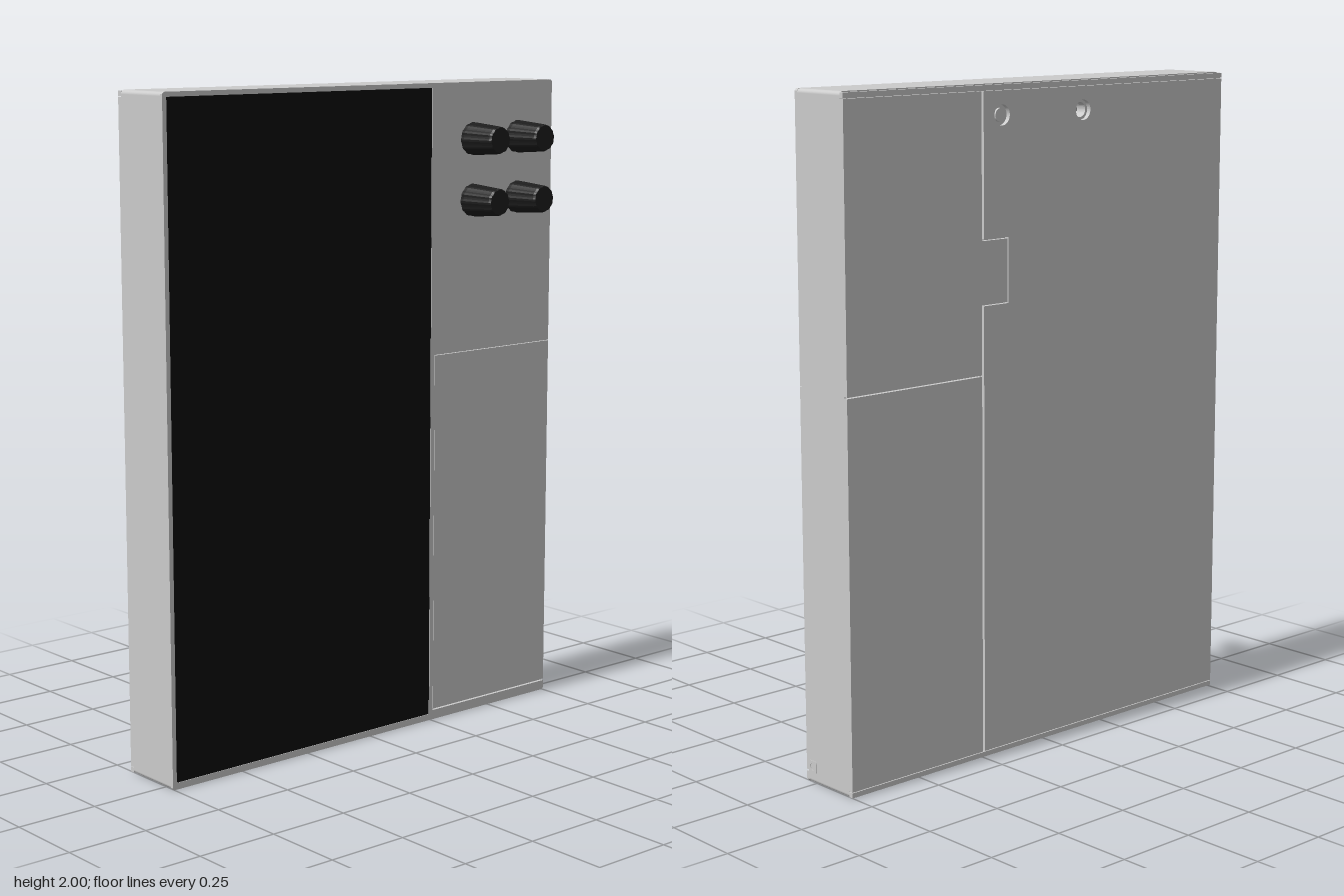
import * as THREE from 'three';

const W = 0.755, H = 2, BACK = -0.17, FRONT = 0.04, SKIN = 0.014, GAP = 0.004, SPLIT = 0.25;
const CORE_BACK = BACK + SKIN, CORE_FRONT = FRONT - 0.01;

const grey = new THREE.MeshStandardMaterial({ color: 0xcccccc });
const black = new THREE.MeshStandardMaterial({ color: 0x0a0a0a });
const knobBlack = new THREE.MeshStandardMaterial({ color: 0x1c1c1c, flatShading: true });

// Closed outline from corner points
const outline = (pts) => new THREE.Shape(pts.map(([x, y]) => new THREE.Vector2(x, y)));
const rect = (x0, y0, x1, y1) => outline([[x0, y0], [x1, y0], [x1, y1], [x0, y1]]);

function roundedRect(x0, y0, x1, y1, r) {
  const s = new THREE.Shape();
  s.absarc(x1 - r, y0 + r, r, -Math.PI / 2, 0);
  s.absarc(x1 - r, y1 - r, r, 0, Math.PI / 2);
  s.absarc(x0 + r, y1 - r, r, Math.PI / 2, Math.PI);
  s.absarc(x0 + r, y0 + r, r, Math.PI, Math.PI * 1.5);
  return s;
}

function circle(x, y, r) {
  const p = new THREE.Path();
  p.absarc(x, y, r, 0, Math.PI * 2, true);
  return p;
}

export function createModel() {
  const group = new THREE.Group();
  const add = (name, geometry, material = grey) => {
    const mesh = new THREE.Mesh(geometry, material);
    mesh.name = name;
    group.add(mesh);
    return mesh;
  };
  // Flat plate between two depths
  const plate = (name, shape, z0, z1, holes = [], material = grey) => {
    shape.holes.push(...holes);
    const geometry = new THREE.ExtrudeGeometry(shape, { depth: z1 - z0, bevelEnabled: false, curveSegments: 16 });
    return add(name, geometry.translate(0, 0, z0), material);
  };

  // Main case with a deep jack bore
  const jack = [-0.15, 1.91], screw = [0.175, 1.91];
  plate('caseBody', roundedRect(-W, 0, W, H, 0.012), CORE_BACK, CORE_FRONT, [circle(...jack, 0.022)]);

  // Front bezel, notched for the lower side cover
  const bezel = outline([
    [-W, 0.006], [-W + 0.006, 0], [W - 0.006, 0], [W, 0.006], [W, 0.03], [SPLIT + 0.01, 0.03],
    [SPLIT + 0.01, 1.17], [W, 1.17], [W, H - 0.006], [W - 0.006, H], [-W + 0.006, H], [-W, H - 0.006],
  ]);
  plate('frontBezel', bezel, CORE_FRONT, FRONT, [rect(-0.741, 0.02, 0.245, 1.986)]);
  plate('frontCover', rect(SPLIT + 0.011, 0.036, W, 1.168), CORE_FRONT, FRONT);
  plate('screen', rect(-0.741, 0.02, 0.245, 1.986), CORE_FRONT, FRONT - 0.002, [], black);

  // Back skin: rails, main panel with a notch, lower panel and tabbed hatch
  const top = 1.98, bottom = 0.02, hatch = 1.165, tabX = 0.155, tabLow = 1.37, tabHigh = 1.555;
  plate('backTopRail', rect(-W, top + GAP / 2, W, H - 0.003), BACK, CORE_BACK);
  plate('backBottomRail', rect(-W, 0.003, W, bottom - GAP / 2), BACK, CORE_BACK);
  const edge = SPLIT - GAP;
  const mainPanel = outline([
    [-W, bottom], [edge, bottom], [edge, tabLow - GAP], [tabX - GAP, tabLow - GAP],
    [tabX - GAP, tabHigh + GAP], [edge, tabHigh + GAP], [edge, top], [-W, top],
  ]);
  plate('backPanel', mainPanel, BACK, CORE_BACK, [circle(...jack, 0.03), circle(...screw, 0.03)]);
  plate('backLowerPanel', rect(SPLIT + GAP, bottom, W, hatch - GAP), BACK, CORE_BACK);
  const hatchShape = outline([
    [SPLIT + GAP, hatch], [W, hatch], [W, top], [SPLIT + GAP, top],
    [SPLIT + GAP, tabHigh], [tabX, tabHigh], [tabX, tabLow], [SPLIT + GAP, tabLow],
  ]);
  plate('backHatch', hatchShape, BACK, CORE_BACK);

  // Recessed jack floor and screw head
  add('jackInterior', new THREE.CircleGeometry(0.022, 24).rotateY(Math.PI).translate(...jack, -0.12), black);
  add('screwHead', new THREE.CylinderGeometry(0.02, 0.02, 0.008, 24).rotateX(Math.PI / 2)
    .translate(...screw, CORE_BACK - 0.004));

  // Small socket on the side
  const socket = roundedRect(-0.018, -0.018, 0.018, 0.018, 0.008);
  socket.holes.push(circle(0, 0, 0.011));
  add('sideSocket', new THREE.ExtrudeGeometry(socket, { depth: 0.006, bevelEnabled: false })
    .rotateY(Math.PI / 2).translate(W - 0.004, 0.05, 0.01));

  // Four fluted, tapered knobs on shafts
  const profile = [[0, 0], [0.05, 0], [0.05, 0.012], [0.042, 0.115], [0.039, 0.123], [0, 0.123]]
    .map(([r, y]) => new THREE.Vector2(r, y));
  const knobGeometry = new THREE.LatheGeometry(profile, 48);
  const p = knobGeometry.attributes.position;
  for (let i = 0; i < p.count; i++) {
    const s = Math.floor(i / profile.length) % 4 < 2 ? 1 : 0.965;
    p.setXYZ(i, p.getX(i) * s, p.getY(i), p.getZ(i) * s);
  }
  knobGeometry.rotateX(Math.PI / 2);
  const shaftGeometry = new THREE.CylinderGeometry(0.022, 0.022, 0.03, 20).rotateX(Math.PI / 2);
  for (const x of [0.407, 0.597]) {
    for (const y of [1.64, 1.828]) {
      add('knob', knobGeometry, knobBlack).position.set(x, y, 0.047);
      add('knobShaft', shaftGeometry).position.set(x, y, 0.045);
    }
  }
  return group;
}
